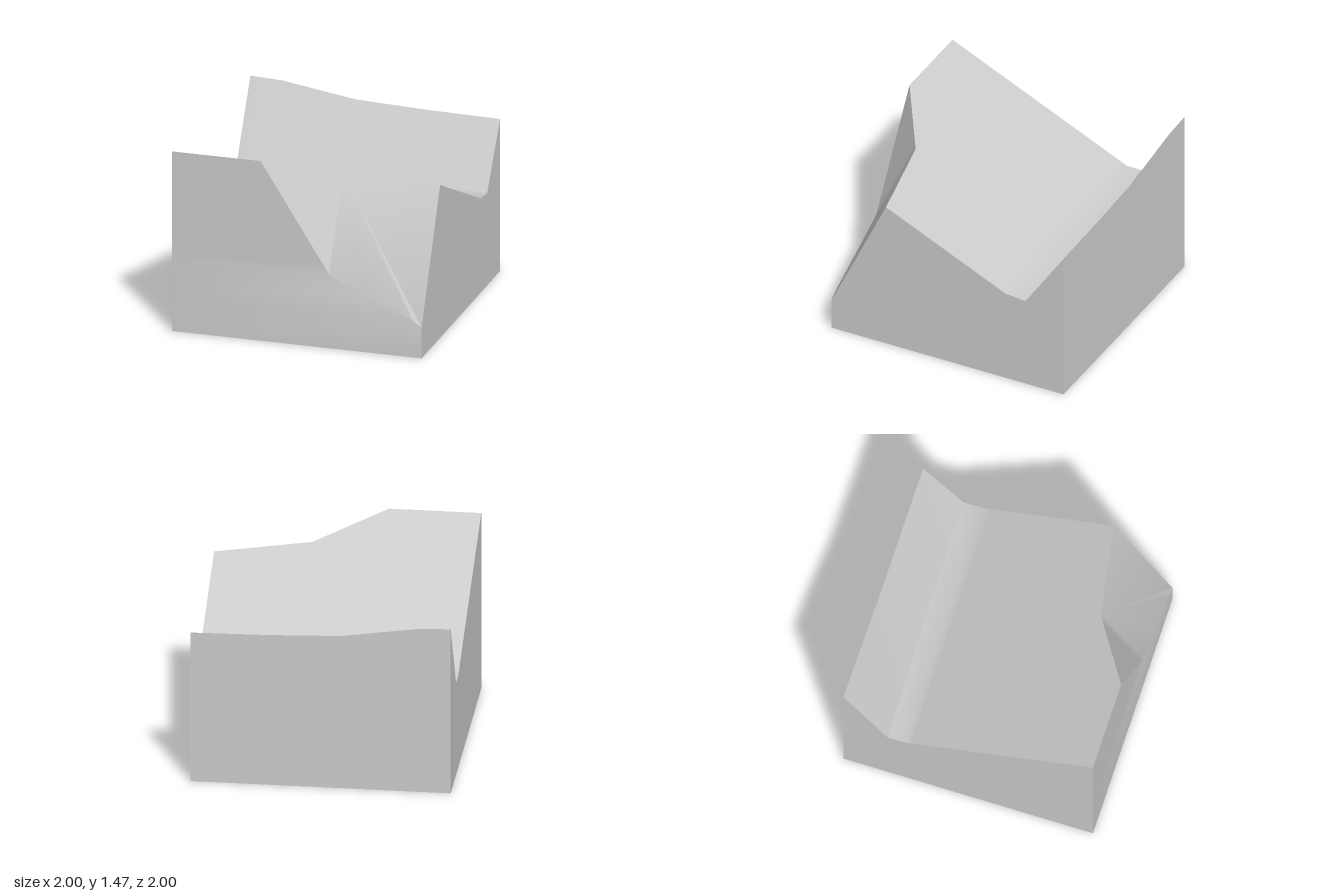
import * as THREE from 'three';
import { toCreasedNormals } from 'three/addons/utils/BufferGeometryUtils.js';

// Builds one surface from polygons; each is a fan around its first corner.
function surface(polygons) {
  const positions = [];
  for (const p of polygons) {
    for (let i = 1; i < p.length - 1; i++) positions.push(...p[0], ...p[i], ...p[i + 1]);
  }
  const geometry = new THREE.BufferGeometry();
  geometry.setAttribute('position', new THREE.Float32BufferAttribute(positions, 3));
  return toCreasedNormals(geometry, 0.62);
}

export function createModel() {
  const group = new THREE.Group();
  group.name = 'terrainBlock';
  const stone = new THREE.MeshStandardMaterial({ color: 0xcccccc });
  stone.name = 'light grey stone';
  const add = (name, polygons) => {
    const mesh = new THREE.Mesh(surface(polygons), stone);
    mesh.name = name;
    group.add(mesh);
  };

  // Height of the long slope falling towards the back
  const slope = (x, z) => [x, 1.465 - 0.463 * (1 - z), z];

  // Corners of the cut at the front
  const cutLeft = slope(-0.29, 1);
  const cutCorner = slope(0.26, 0.66);
  const cutRight = slope(1, 0.53);
  const nearCorner = slope(0.2, 0.697);
  const foot = [[1, 0.25, 1], [0.93, 0.3, 1], [0.56, 0.46, 1], [0.26, 0.6, 1], [0.21, 0.678, 1]];

  // Cross-sections over the valley and back bank: x, valley z, valley y, rim y
  const sections = [
    [-1, -0.645, 0.765, 1.37],
    [-0.75, -0.65, 0.764, 1.36],
    [-0.15, -0.662, 0.76, 1.27],
    [0.4, -0.673, 0.756, 1.25],
    [1, -0.673, 0.755, 1.24],
  ];
  const valley = sections.map(([x, z, y]) => [x, y, z]);
  const rim = sections.map(([x, , , y]) => [x, y, -1]);
  const slopeEnd = sections.map(([x]) => slope(x, -0.45));
  const valleyFront = sections.map(([x]) => [x, 0.77, -0.5]);

  // Strips of quads between two rows running from left to right
  const strip = (front, back) =>
    front.slice(1).map((p, i) => [front[i], p, back[i + 1], back[i]]);

  // Long slope, valley floor and steep back bank
  add('upperSurface', [
    [slopeEnd[0], slope(-1, 1), cutLeft, nearCorner, cutCorner, cutRight, slopeEnd[4]],
    ...strip(slopeEnd, valleyFront),
    ...strip(valleyFront, valley),
    ...strip(valley, rim),
  ]);

  // Front wall in level rows, blending into the cut face above it
  const rows = [[1, 0, 1], ...foot, cutLeft];
  const frontWall = rows.slice(1).map((p, i) => {
    const q = rows[i];
    return [[-1, q[1], 1], q, p, [-1, p[1], 1]];
  });
  add('frontWallAndCut', [
    ...frontWall,
    [cutLeft, foot[4], nearCorner],
    [nearCorner, foot[4], foot[3], cutCorner],
    [cutCorner, foot[3], foot[2], foot[1], foot[0], cutRight],
  ]);

  // Side walls, fanned from below the valley
  add('leftWall', [[
    [1, 0, -0.6], [1, 0, -1], rim[4], valley[4], valleyFront[4], slopeEnd[4],
    cutRight, foot[0], [1, 0, 1], [1, 0, -0.6],
  ]]);
  add('rightWall', [[
    [-1, 0, -0.6], [-1, 0, 1], slope(-1, 1), slopeEnd[0], valleyFront[0], valley[0],
    rim[0], [-1, 0, -1], [-1, 0, -0.6],
  ]]);

  // Back wall and base
  add('backWall', [[[0, 0, -1], [-1, 0, -1], ...rim, [1, 0, -1]]]);
  add('base', [[[-1, 0, -1], [1, 0, -1], [1, 0, 1], [-1, 0, 1]]]);
  return group;
}
